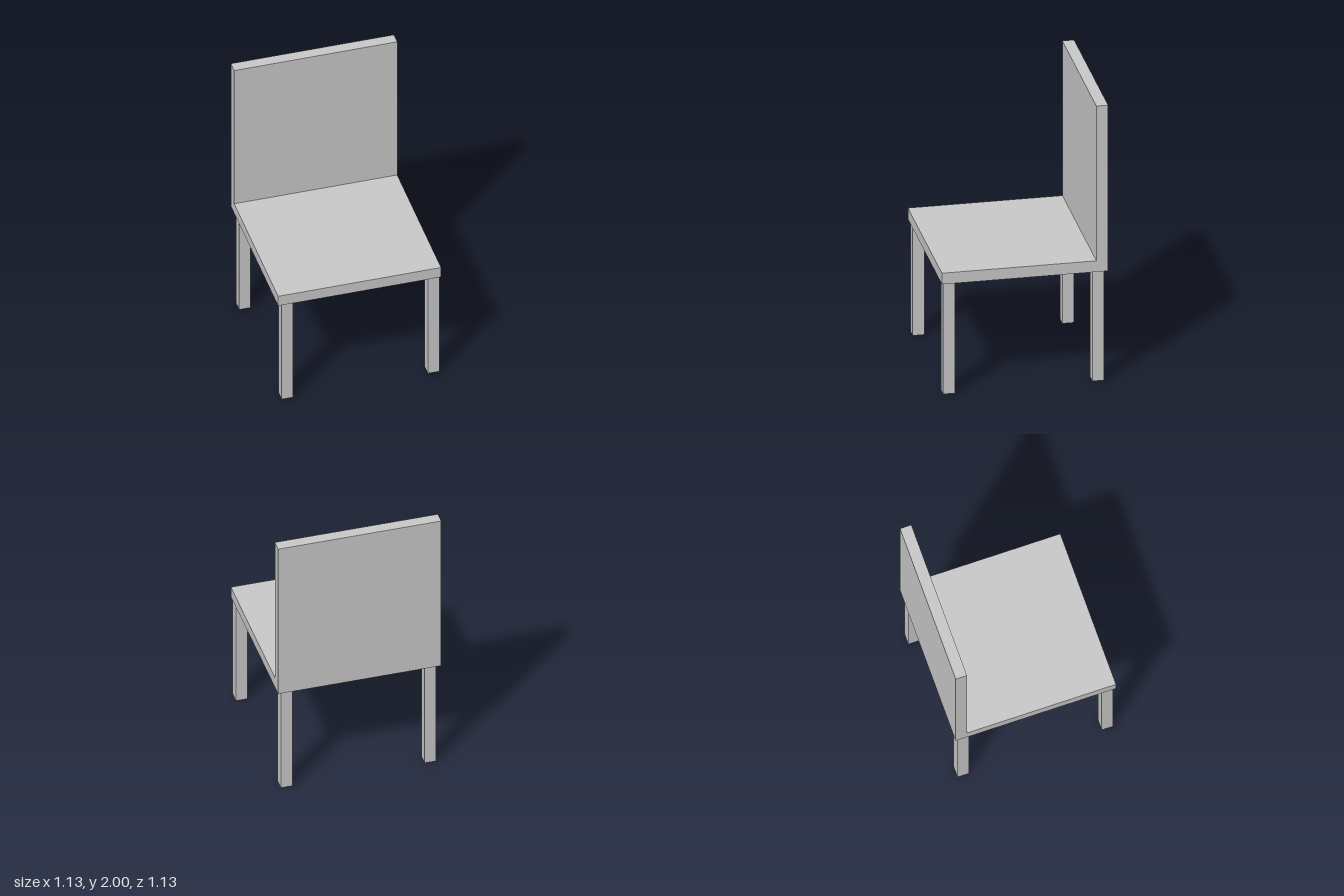
import * as THREE from 'three';

export function createModel() {
  const chair = new THREE.Group();
  chair.name = 'chair';
  const material = new THREE.MeshStandardMaterial({ color: 0xcccccc, flatShading: true });

  // Box given by its size and the centre of its underside
  function addBox(name, [w, h, d], [x, y, z]) {
    const mesh = new THREE.Mesh(new THREE.BoxGeometry(w, h, d), material);
    mesh.name = name;
    mesh.position.set(x, y + h / 2, z);
    chair.add(mesh);
  }

  const width = 1.13, thickness = 0.08, seatBottom = 0.8;
  const seatTop = seatBottom + thickness;

  // Seat slab and upright backrest, flush at the rear
  addBox('seat', [width, thickness, width], [0, seatBottom, 0]);
  addBox('backrest', [width, 2 - seatTop, thickness], [0, seatTop, -(width - thickness) / 2]);

  // Four square legs, slightly uneven in placement
  const legs = {
    frontLeftLeg: [0.516, 0.514],
    frontRightLeg: [-0.497, 0.514],
    backLeftLeg: [0.5, -0.503],
    backRightLeg: [-0.497, -0.503],
  };
  for (const [name, [x, z]] of Object.entries(legs)) {
    addBox(name, [thickness, seatBottom, thickness], [x, 0, z]);
  }

  return chair;
}
